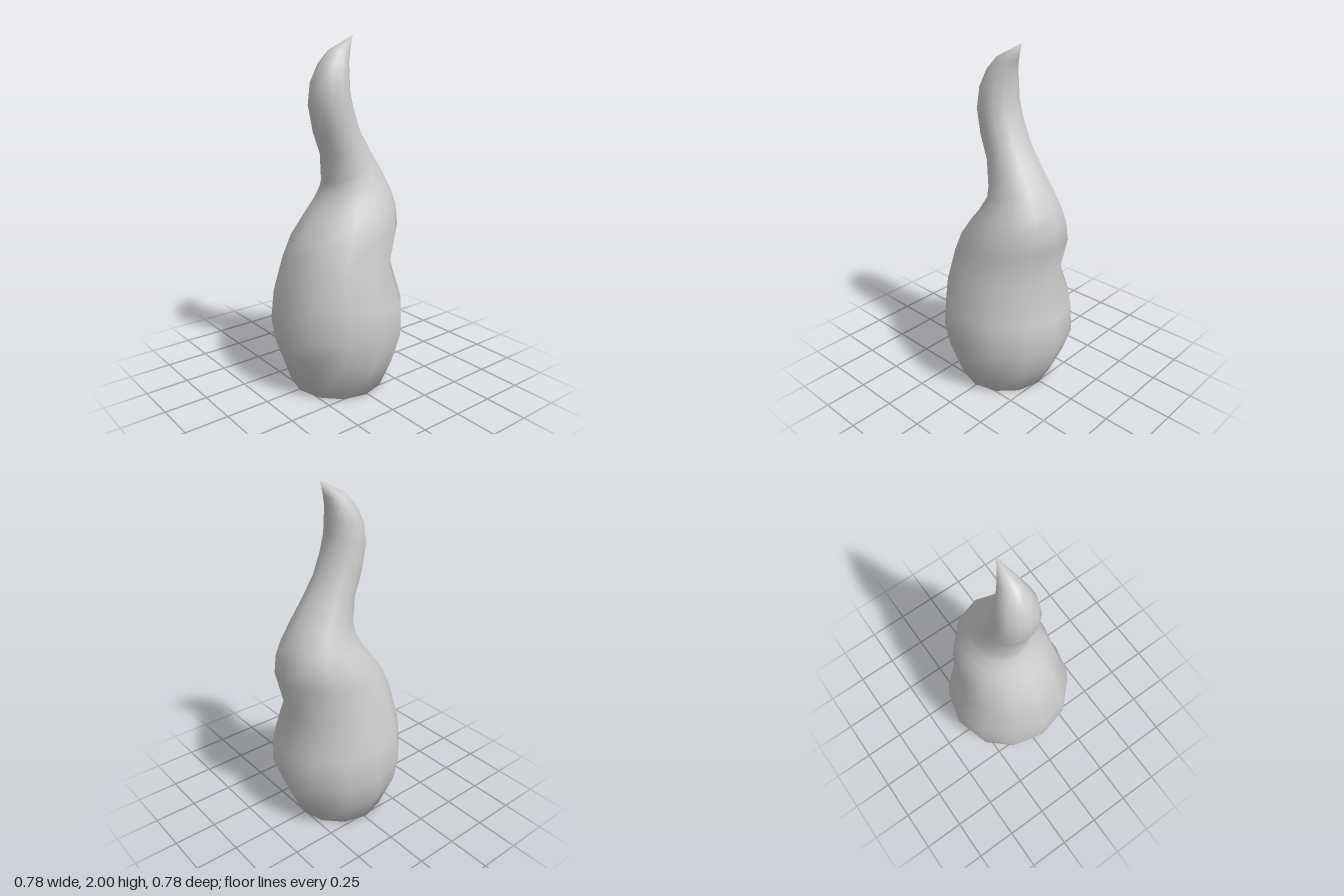
import * as THREE from 'three';

const SIDES = 12;

// Tilted rings, bottom to top: left x, left y, right x, right y, half depth
const RINGS = [
  [-0.28, 0.00, 0.26, 0.00, 0.275],
  [-0.36, 0.25, 0.33, 0.15, 0.36],
  [-0.39, 0.40, 0.388, 0.31, 0.39],
  [-0.37, 0.58, 0.38, 0.49, 0.38],
  [-0.32, 0.78, 0.31, 0.72, 0.315],
  [-0.27, 0.90, 0.37, 0.94, 0.29],
  [-0.19, 1.01, 0.36, 1.06, 0.255],
  [-0.14, 1.07, 0.33, 1.15, 0.22],
  [-0.09, 1.15, 0.27, 1.26, 0.18],
  [-0.08, 1.20, 0.19, 1.38, 0.155],
  [-0.09, 1.35, 0.115, 1.50, 0.135],
  [-0.14, 1.48, 0.07, 1.62, 0.13],
  [-0.175, 1.63, 0.05, 1.71, 0.122],
  [-0.165, 1.75, 0.05, 1.80, 0.107],
  [-0.12, 1.85, 0.055, 1.86, 0.08],
  [-0.06, 1.92, 0.07, 1.91, 0.05],
];

// Skin the rings, closing the base with a flat cap and the top with a point
function flameGeometry() {
  const pos = [], index = [];
  RINGS.forEach(([lx, ly, rx, ry, depth], i) => {
    const zMid = i === 0 ? 0.01 : Math.min(0.012, i * 0.002);
    for (let j = 0; j < SIDES; j++) {
      const a = (j / SIDES) * Math.PI * 2;
      const t = (1 + Math.cos(a)) / 2;
      pos.push(lx + (rx - lx) * t, ly + (ry - ly) * t, zMid + depth * Math.sin(a));
    }
  });
  const base = pos.length / 3, tip = base + 1;
  pos.push(-0.01, 0, 0.01, 0.1, 2, 0.012);

  const last = (RINGS.length - 1) * SIDES;
  for (let j = 0; j < SIDES; j++) {
    const k = (j + 1) % SIDES;
    for (let r = 0; r < last; r += SIDES) {
      const up = r + SIDES;
      index.push(r + j, up + j, r + k, r + k, up + j, up + k);
    }
    index.push(base, j, k);
    index.push(last + j, tip, last + k);
  }

  const geo = new THREE.BufferGeometry();
  geo.setAttribute('position', new THREE.Float32BufferAttribute(pos, 3));
  geo.setIndex(index);
  geo.computeVertexNormals();
  return geo;
}

export function createModel() {
  const group = new THREE.Group();
  group.name = 'flame';
  const body = new THREE.Mesh(
    flameGeometry(),
    new THREE.MeshStandardMaterial({ color: 0xcccccc })
  );
  body.name = 'flameBody';
  group.add(body);
  return group;
}
